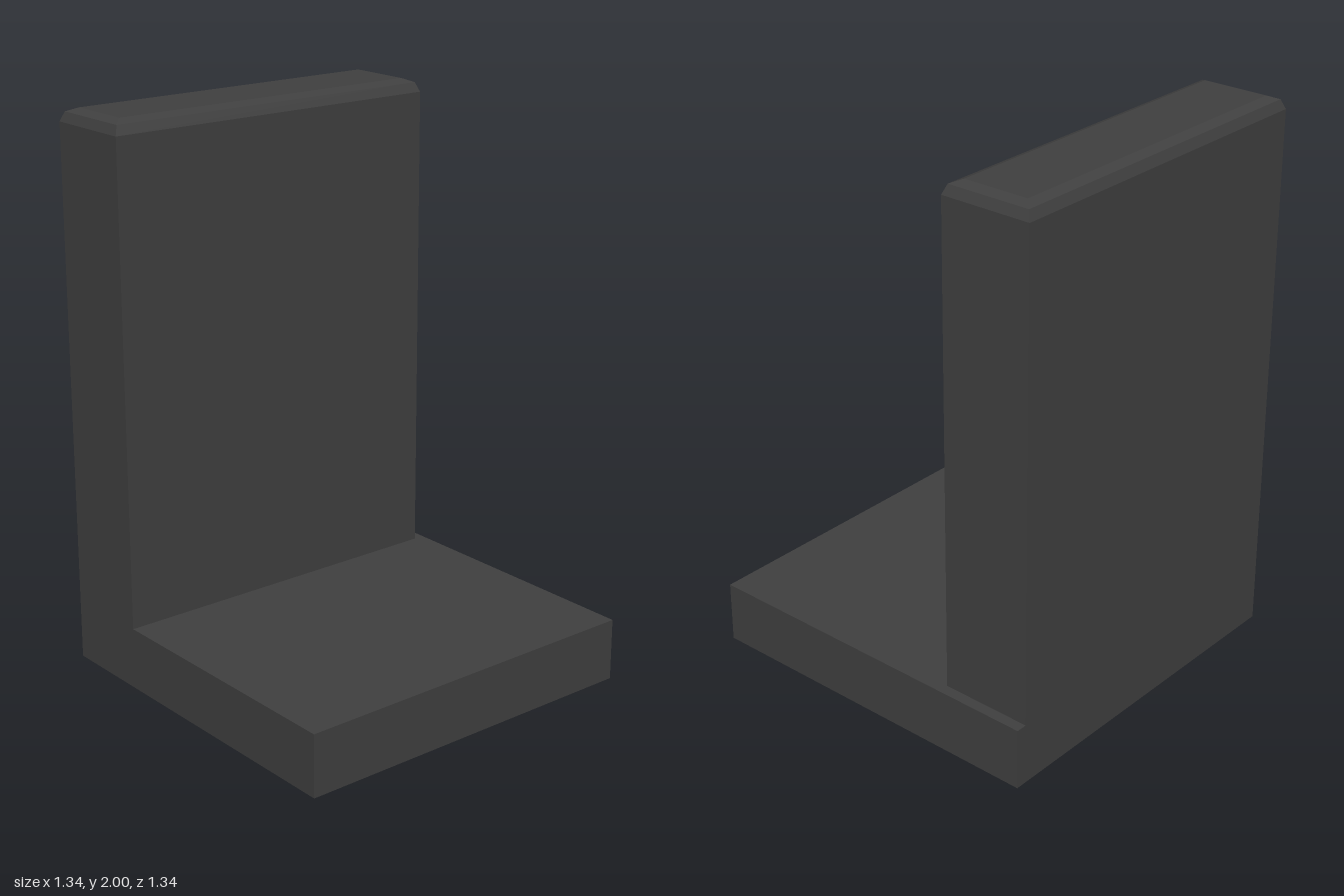
import * as THREE from 'three';

// Stack of rectangular cross-sections [inset, y], closed at both ends
function rectLoft(x0, x1, z0, z1, sections) {
  const rings = sections.map(([d, y]) => [
    [x0 + d, y, z1 - d], [x1 - d, y, z1 - d], [x1 - d, y, z0 + d], [x0 + d, y, z0 + d],
  ]);
  const pos = [];
  const quad = (a, b, c, d) => pos.push(...a, ...b, ...c, ...a, ...c, ...d);
  for (let i = 0; i < rings.length - 1; i++) {
    for (let k = 0; k < 4; k++) {
      const n = (k + 1) % 4;
      quad(rings[i][k], rings[i][n], rings[i + 1][n], rings[i + 1][k]);
    }
  }
  quad(...rings[rings.length - 1]);
  quad(...rings[0].slice().reverse());
  const geo = new THREE.BufferGeometry();
  geo.setAttribute('position', new THREE.Float32BufferAttribute(pos, 3));
  geo.computeVertexNormals();
  return geo;
}

export function createModel() {
  const group = new THREE.Group();
  const charcoal = new THREE.MeshStandardMaterial({ color: 0x404040 });
  charcoal.name = 'charcoal';

  const add = (name, geometry) => {
    const mesh = new THREE.Mesh(geometry, charcoal);
    mesh.name = name;
    group.add(mesh);
  };

  // Square base slab
  add('base', rectLoft(-0.67, 0.67, -0.67, 0.67, [[0, 0], [0, 0.225]]));

  // Upright back panel, flush with the rear and one side, with a two-step bevelled top
  add('backPanel', rectLoft(-0.67, 0.63, -0.67, -0.333,
    [[0, 0.225], [0, 1.952], [0.014, 1.986], [0.048, 2]]));

  return group;
}
